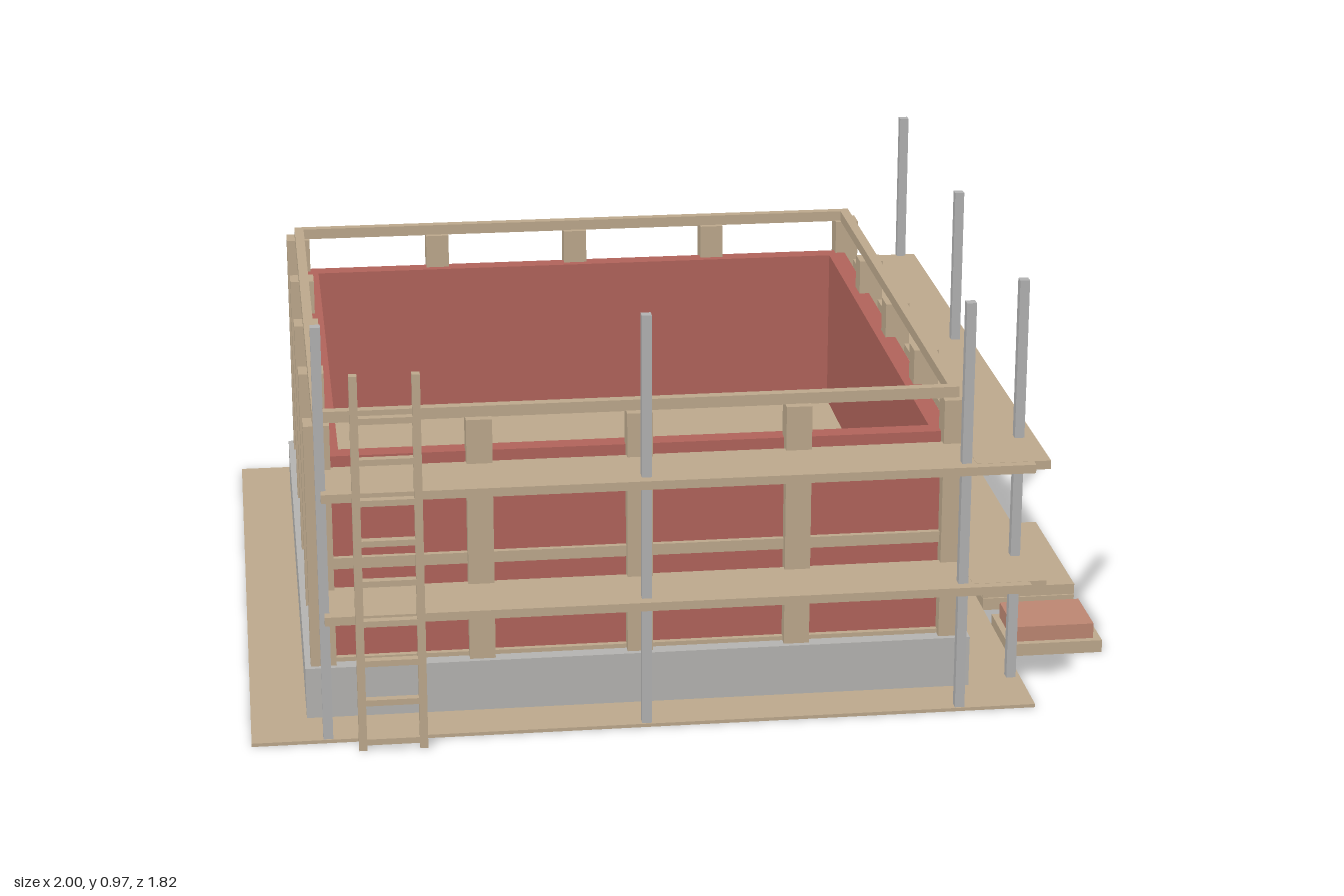
import * as THREE from 'three';

const mat = (name, color) => {
  const m = new THREE.MeshStandardMaterial({ color });
  m.name = name;
  return m;
};

export function createModel() {
  const model = new THREE.Group();
  model.name = 'buildingSite';
  const timber = mat('timber', 0xbca88c);
  const panel = mat('redPanel', 0xb0635a);
  const concrete = mat('concrete', 0xb4b3b0);
  const steel = mat('steel', 0xb2b2b2);
  const brick = mat('brick', 0xbc8672);

  // Box given by its extents on each axis
  const box = (name, m, x0, x1, y0, y1, z0, z1, parent = model) => {
    const mesh = new THREE.Mesh(new THREE.BoxGeometry(x1 - x0, y1 - y0, z1 - z0), m);
    mesh.position.set((x0 + x1) / 2, (y0 + y1) / 2, (z0 + z1) / 2);
    mesh.name = name;
    parent.add(mesh);
  };
  const group = (name, parent = model) => {
    const g = new THREE.Group();
    g.name = name;
    parent.add(g);
    return g;
  };

  // Square frame with a square hole, lying flat
  const house = group('house');
  house.position.set(-0.115, 0, -0.025);
  const frame = (name, m, outer, inner, y0, y1) => {
    const square = (C, r) => new C([[-r, -r], [r, -r], [r, r], [-r, r]].map(([x, y]) => new THREE.Vector2(x, y)));
    const shape = square(THREE.Shape, outer);
    shape.holes.push(square(THREE.Path, inner));
    const geo = new THREE.ExtrudeGeometry(shape, { depth: y1 - y0, bevelEnabled: false });
    geo.rotateX(-Math.PI / 2);
    const mesh = new THREE.Mesh(geo, m);
    mesh.position.y = y0;
    mesh.name = name;
    house.add(mesh);
  };

  // Ground, foundation, floor and walls
  box('groundSlab', timber, -1, 0.773, 0, 0.008, -0.91, 0.857);
  frame('foundation', concrete, 0.759, 0.669, 0, 0.128);
  box('floor', timber, -0.669, 0.669, 0.008, 0.215, -0.669, 0.669, house);
  frame('walls', panel, 0.712, 0.668, 0.128, 0.616);
  for (const [name, y] of [['bottomRail', 0.112], ['middleRail', 0.352], ['topRail', 0.699]]) {
    frame(name, timber, 0.725, 0.702, y, y + 0.026);
  }

  // Studs: five per side, corners shared
  const studs = group('studs', house);
  const step = 0.3585;
  for (let i = -2; i <= 2; i++) {
    for (let j = -2; j <= 2; j++) {
      if (Math.max(Math.abs(i), Math.abs(j)) < 2) continue;
      const x = i * step, z = j * step;
      box('stud', timber, x - 0.029, x + 0.029, 0.128, 0.7, z - 0.029, z + 0.029, studs);
    }
  }

  // Scaffold along the front and the left side
  const scaffold = group('scaffold');
  for (const y of [0.29, 0.577]) {
    box('frontDeck', timber, -0.83, 0.75, y, y + 0.02, 0.705, 0.878, scaffold);
    box('sideDeck', timber, 0.62, 0.788, y + 0.0005, y + 0.0205, -0.738, 0.857, scaffold);
  }
  const pole = (x, z) => box('pole', steel, x - 0.011, x + 0.011, 0, 0.97, z - 0.011, z + 0.011, scaffold);
  for (const x of [-0.83, -0.116, 0.599]) pole(x, 0.842);
  for (const z of [-0.736, -0.025, 0.692]) pole(0.751, z);

  // Ladder
  const ladder = group('ladder');
  for (const x of [-0.755, -0.62]) {
    box('ladderRail', timber, x - 0.009, x + 0.009, 0, 0.875, 0.889, 0.908, ladder);
  }
  for (let i = 0; i < 9; i++) {
    const y = 0.02 + i * 0.094;
    box('rung', timber, -0.755, -0.62, y - 0.007, y + 0.007, 0.889, 0.908, ladder);
  }

  // Stacked boards and a pallet of bricks
  const supplies = group('supplies');
  box('lowerBoards', timber, 0.775, 1, 0, 0.03, -0.14, 0.28, supplies);
  box('upperBoards', timber, 0.775, 1, 0.032, 0.058, -0.14, 0.28, supplies);
  box('boardSpacer', timber, 0.78, 0.995, 0.03, 0.032, -0.135, 0.275, supplies);
  box('pallet', timber, 0.775, 1, 0, 0.03, 0.377, 0.565, supplies);
  box('brickStack', brick, 0.79, 0.982, 0.03, 0.067, 0.395, 0.549, supplies);

  return model;
}
